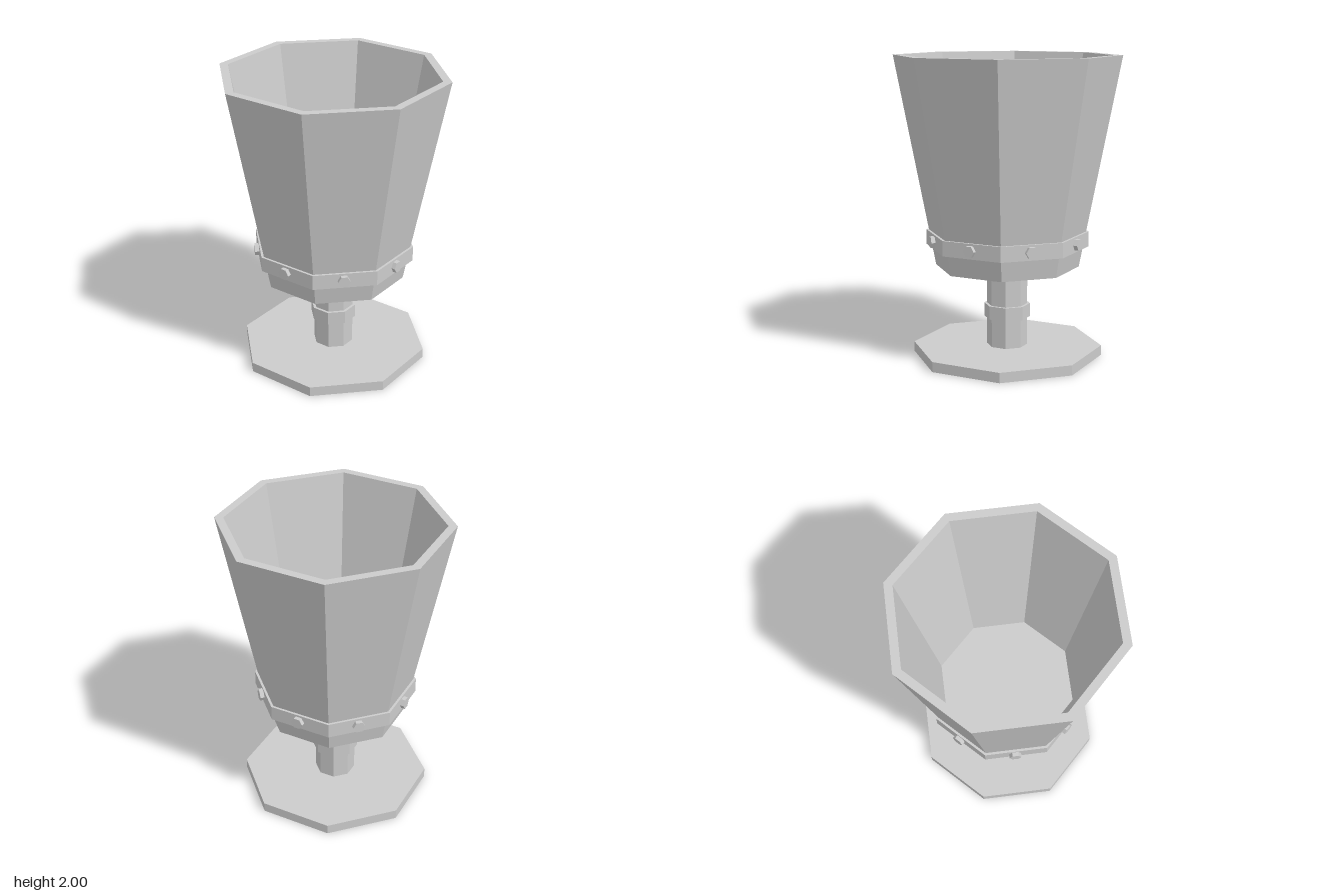
import * as THREE from 'three';

const SIDES = 8;
const TURN = THREE.MathUtils.degToRad(21.7); // flat face nearly square to the front
const material = new THREE.MeshStandardMaterial({ color: 0xcccccc, flatShading: true });

// Eight-sided turned part from a [radius, height] profile, outside listed bottom to top
function turned(name, profile) {
  const points = profile.map(([r, y]) => new THREE.Vector2(r, y));
  const mesh = new THREE.Mesh(new THREE.LatheGeometry(points, SIDES, TURN), material);
  mesh.name = name;
  return mesh;
}

// Solid eight-sided disc or post between two heights
const prism = (name, r, y0, y1) => turned(name, [[0, y0], [r, y0], [r, y1], [0, y1]]);

export function createModel() {
  const goblet = new THREE.Group();
  goblet.name = 'goblet';

  // Foot, stem and the collar around the stem
  goblet.add(
    prism('foot', 0.632, 0, 0.067),
    prism('stem', 0.135, 0.06, 0.545),
    prism('stemCollar', 0.154, 0.26, 0.35)
  );

  // Hollow bowl: underside, flared wall, rim, inner wall, floor
  goblet.add(turned('bowl', [
    [0, 0.54], [0.135, 0.54], [0.477, 0.607], [0.747, 2],
    [0.69, 2], [0.46, 0.81], [0, 0.81]
  ]));

  // Band around the lower bowl
  goblet.add(turned('band', [
    [0.49, 0.745], [0.54, 0.745], [0.54, 0.845], [0.49, 0.845]
  ]));

  // One hexagonal rivet per band face
  const rivetGeometry = new THREE.CylinderGeometry(0.04, 0.04, 0.06, 6, 1, false, Math.PI / 2);
  rivetGeometry.rotateX(Math.PI / 2).translate(0, 0, 0.496);
  const rivets = new THREE.Group();
  rivets.name = 'rivets';
  for (let i = 0; i < SIDES; i++) {
    const rivet = new THREE.Mesh(rivetGeometry, material);
    rivet.name = 'rivet';
    rivet.position.y = 0.797;
    rivet.rotation.y = (i / SIDES) * Math.PI * 2 - 0.028;
    rivets.add(rivet);
  }
  goblet.add(rivets);

  return goblet;
}
